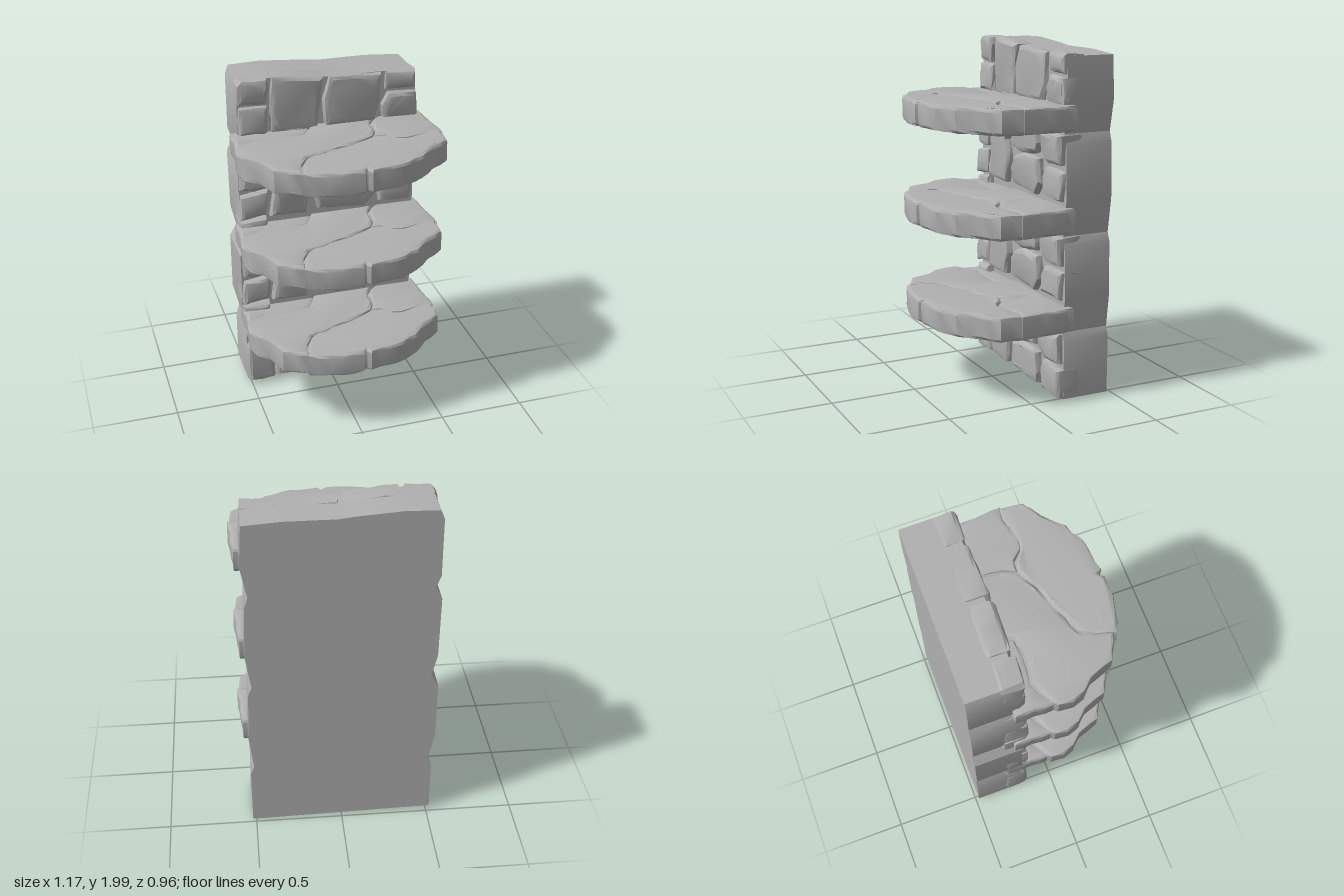
import * as THREE from 'three';
import { toCreasedNormals } from 'three/addons/utils/BufferGeometryUtils.js';

const stoneGrey = new THREE.MeshStandardMaterial({ color: 0xb0b0b0 });
stoneGrey.name = 'stoneGrey';

// repeatable random value from a position, in -1..1
function hash(x, y, z) {
  const s = Math.sin(Math.round(x * 1000) * 12.9898 + Math.round(y * 1000) * 78.233 + Math.round(z * 1000) * 37.719) * 43758.5453;
  return (s - Math.floor(s)) * 2 - 1;
}

// splits the sides of an outline into short, slightly wandering steps
function roughOutline(points, step, wobble) {
  const out = [];
  points.forEach(([x, y], i) => {
    const [u, v] = points[(i + 1) % points.length];
    const n = Math.max(1, Math.round(Math.hypot(u - x, v - y) / step));
    for (let k = 0; k < n; k++) {
      const px = x + ((u - x) * k) / n, py = y + ((v - y) * k) / n;
      const w = k === 0 ? 0 : wobble;
      out.push(new THREE.Vector2(px + w * hash(px, py, 1), py + w * hash(px, py, 2)));
    }
  });
  return out;
}

// chiselled block: bevelled outline, extruded from z = 0 to z = depth
function stoneGeometry(points, depth, { bevel = 0.025, gap = 0.005, step = 0.08, wobble = 0.006, chip = 0.005, tilt = 0 } = {}) {
  const g = new THREE.ExtrudeGeometry(new THREE.Shape(roughOutline(points, step, wobble)), {
    depth: depth - 2 * bevel, bevelEnabled: true, bevelThickness: bevel,
    bevelSize: bevel, bevelOffset: -bevel - gap, bevelSegments: 2, steps: 1
  });
  g.translate(0, 0, bevel);
  g.computeBoundingBox();
  const c = g.boundingBox.getCenter(new THREE.Vector3());
  const p = g.attributes.position;
  for (let i = 0; i < p.count; i++) {
    const x = p.getX(i), y = p.getY(i), z = p.getZ(i);
    const lean = z > depth / 2 ? tilt * (x - c.x + 0.7 * (y - c.y)) : 0;
    p.setXYZ(i, x + chip * hash(x, y, z), y + chip * hash(y, z, x), z + lean + chip * 0.6 * hash(z, x, y));
  }
  return toCreasedNormals(g, 0.5);
}

function addMesh(parent, geometry, name) {
  const m = new THREE.Mesh(geometry, stoneGrey);
  m.name = name;
  parent.add(m);
  return m;
}

// backing wall, scalloped along both sides at each course
const wallOutline = [
  [-0.52, 0.03], [0, 0.02], [0.52, 0.01], [0.52, 0.35], [0.5, 0.4], [0.525, 0.6], [0.515, 0.9], [0.495, 0.95],
  [0.525, 1.15], [0.515, 1.46], [0.495, 1.52], [0.53, 1.7], [0.515, 1.94], [0.3, 1.955], [0.02, 1.955],
  [-0.06, 1.965], [-0.32, 1.985], [-0.5, 1.98], [-0.52, 1.93], [-0.52, 1.6], [-0.495, 1.53], [-0.53, 1.46],
  [-0.525, 1.1], [-0.495, 0.97], [-0.535, 0.9], [-0.535, 0.55], [-0.5, 0.4], [-0.52, 0.33]
];

// one course of facing stones, heights measured from the course base
const courseStones = [
  [[-0.53, 0.76], [-0.36, 0.77], [-0.35, 0.9], [-0.4, 0.95], [-0.52, 0.94]],
  [[-0.54, 0.58], [-0.37, 0.6], [-0.36, 0.76], [-0.53, 0.74]],
  [[-0.535, 0.42], [-0.36, 0.42], [-0.37, 0.59], [-0.54, 0.57]],
  [[-0.36, 0.59], [-0.14, 0.58], [-0.11, 0.72], [-0.14, 0.84], [-0.1, 0.92], [-0.13, 0.975], [-0.33, 0.965], [-0.36, 0.86], [-0.34, 0.73]],
  [[-0.1, 0.81], [0.02, 0.78], [0.23, 0.81], [0.25, 0.87], [0.24, 0.96], [-0.08, 0.965]],
  [[-0.07, 0.59], [0.22, 0.57], [0.28, 0.65], [0.26, 0.79], [0.08, 0.8], [-0.03, 0.77], [-0.1, 0.7]],
  [[0.26, 0.84], [0.34, 0.77], [0.51, 0.78], [0.515, 0.95], [0.27, 0.955]],
  [[0.3, 0.59], [0.5, 0.575], [0.525, 0.75], [0.33, 0.76], [0.29, 0.7]]
];
const baseStones = [
  [[-0.52, 0.34], [-0.36, 0.34], [-0.35, 0.4], [-0.5, 0.41]],
  [[-0.525, 0.03], [-0.35, 0.03], [-0.35, 0.32], [-0.5, 0.32], [-0.525, 0.28]],
  [[-0.35, 0.025], [-0.12, 0.025], [-0.1, 0.16], [-0.13, 0.27], [-0.1, 0.4], [-0.34, 0.4], [-0.35, 0.2]],
  [[-0.09, 0.24], [0.02, 0.21], [0.23, 0.25], [0.25, 0.39], [-0.08, 0.4]],
  [[-0.1, 0.02], [0.26, 0.015], [0.28, 0.09], [0.26, 0.22], [0.08, 0.23], [-0.08, 0.19]],
  [[0.26, 0.27], [0.34, 0.2], [0.515, 0.21], [0.51, 0.39], [0.27, 0.39]],
  [[0.3, 0.01], [0.52, 0.01], [0.525, 0.19], [0.33, 0.2], [0.28, 0.13]]
];
const topStones = [
  [[-0.525, 1.84], [-0.35, 1.83], [-0.33, 1.95], [-0.35, 1.995], [-0.5, 1.995], [-0.525, 1.96]],
  [[-0.52, 1.66], [-0.35, 1.66], [-0.34, 1.83], [-0.52, 1.835]],
  [[-0.34, 1.65], [-0.06, 1.65], [-0.04, 1.83], [-0.02, 1.97], [-0.33, 2.0], [-0.34, 1.86]],
  [[-0.03, 1.67], [0.28, 1.67], [0.31, 1.78], [0.32, 1.955], [0, 1.97], [-0.04, 1.83]],
  [[0.33, 1.84], [0.525, 1.84], [0.52, 1.955], [0.33, 1.96]],
  [[0.32, 1.66], [0.535, 1.66], [0.53, 1.83], [0.35, 1.84], [0.31, 1.76]]
];

// shelf slabs as x, z outlines
const shelfSlabs = [
  [[-0.56, -0.24], [-0.3, -0.26], [-0.1, -0.26], [-0.12, -0.16], [-0.16, -0.09], [-0.28, -0.08], [-0.42, -0.1], [-0.56, -0.03]],
  [[-0.42, -0.1], [-0.28, -0.08], [-0.16, -0.09], [-0.12, -0.16], [-0.1, -0.26], [0.32, -0.26], [0.23, -0.13],
    [0.225, -0.02], [0.19, 0.05], [0.08, 0.11], [-0.1, 0.17], [-0.24, 0.23], [-0.29, 0.31], [-0.31, 0.4],
    [-0.45, 0.34], [-0.5, 0.2], [-0.56, 0.14], [-0.585, 0.07], [-0.58, -0.01], [-0.55, -0.04]],
  [[0.19, 0.05], [0.25, 0.06], [0.3, 0.11], [0.36, 0.125], [0.5, 0.08], [0.58, 0.08], [0.565, 0.22], [0.46, 0.29],
    [0.36, 0.39], [0.22, 0.45], [0.05, 0.475], [0.03, 0.45], [0.01, 0.475], [-0.12, 0.475], [-0.32, 0.42],
    [-0.29, 0.31], [-0.24, 0.23], [-0.1, 0.17], [0.08, 0.11]],
  [[0.32, -0.24], [0.56, -0.24], [0.57, -0.05], [0.585, 0.1], [0.5, 0.09], [0.36, 0.125], [0.3, 0.11], [0.25, 0.06],
    [0.19, 0.05], [0.225, -0.02], [0.23, -0.13]]
];
const shelfCore = [
  [-0.55, -0.24], [0.55, -0.24], [0.575, 0.1], [0.55, 0.21], [0.36, 0.38], [0.2, 0.45], [0, 0.46], [-0.14, 0.46],
  [-0.31, 0.4], [-0.44, 0.33], [-0.49, 0.2], [-0.57, 0.07]
];

function makeShelf(name) {
  const shelf = new THREE.Group();
  shelf.name = name;
  const flat = (pts) => pts.map(([x, z]) => [x, -z]);
  const core = stoneGeometry(flat(shelfCore), 0.125, { bevel: 0.015, gap: 0.008, chip: 0 });
  addMesh(shelf, core.rotateX(-Math.PI / 2), 'shelfCore');
  shelfSlabs.forEach((pts, i) => {
    const g = stoneGeometry(flat(pts), i === 0 ? 0.13 : 0.142, { bevel: 0.018, gap: 0.001, step: 0.06, wobble: 0.005, chip: 0.004 });
    addMesh(shelf, g.rotateX(-Math.PI / 2), 'shelfSlab');
  });
  return shelf;
}

export function createModel() {
  const model = new THREE.Group();
  model.name = 'stoneShelves';

  // wall core with a flat back
  const wall = new THREE.ExtrudeGeometry(new THREE.Shape(wallOutline.map(([x, y]) => new THREE.Vector2(x, y))), { depth: 0.285, bevelEnabled: false });
  wall.translate(0, 0, -0.48);
  addMesh(model, toCreasedNormals(wall, 0.5), 'wallCore');

  // facing stones
  const facing = new THREE.Group();
  facing.name = 'facingStones';
  model.add(facing);
  const addCourse = (stones, lift, front) => stones.forEach((pts, i) => {
    const depth = 0.15 + front + 0.008 * hash(i, 3, 7);
    const g = stoneGeometry(pts.map(([x, y]) => [x, y + lift]), depth, { tilt: 0.07 * hash(i, 5, 1) });
    addMesh(facing, g.translate(0, 0, -0.305), 'facingStone');
  });
  addCourse(baseStones, 0, 0);
  addCourse(courseStones, 0, 0);
  addCourse(courseStones, 0.565, 0);
  addCourse(topStones, 0, -0.015);

  // three shelves, each a little different in width and turn
  [['lowerShelf', 0.412, 0.97, 0.01], ['middleShelf', 0.975, 0.985, 0], ['upperShelf', 1.54, 1, 0]].forEach(([name, y, width, shift]) => {
    const shelf = makeShelf(name);
    shelf.position.set(shift, y, 0);
    shelf.scale.x = width;
    model.add(shelf);
  });
  return model;
}
